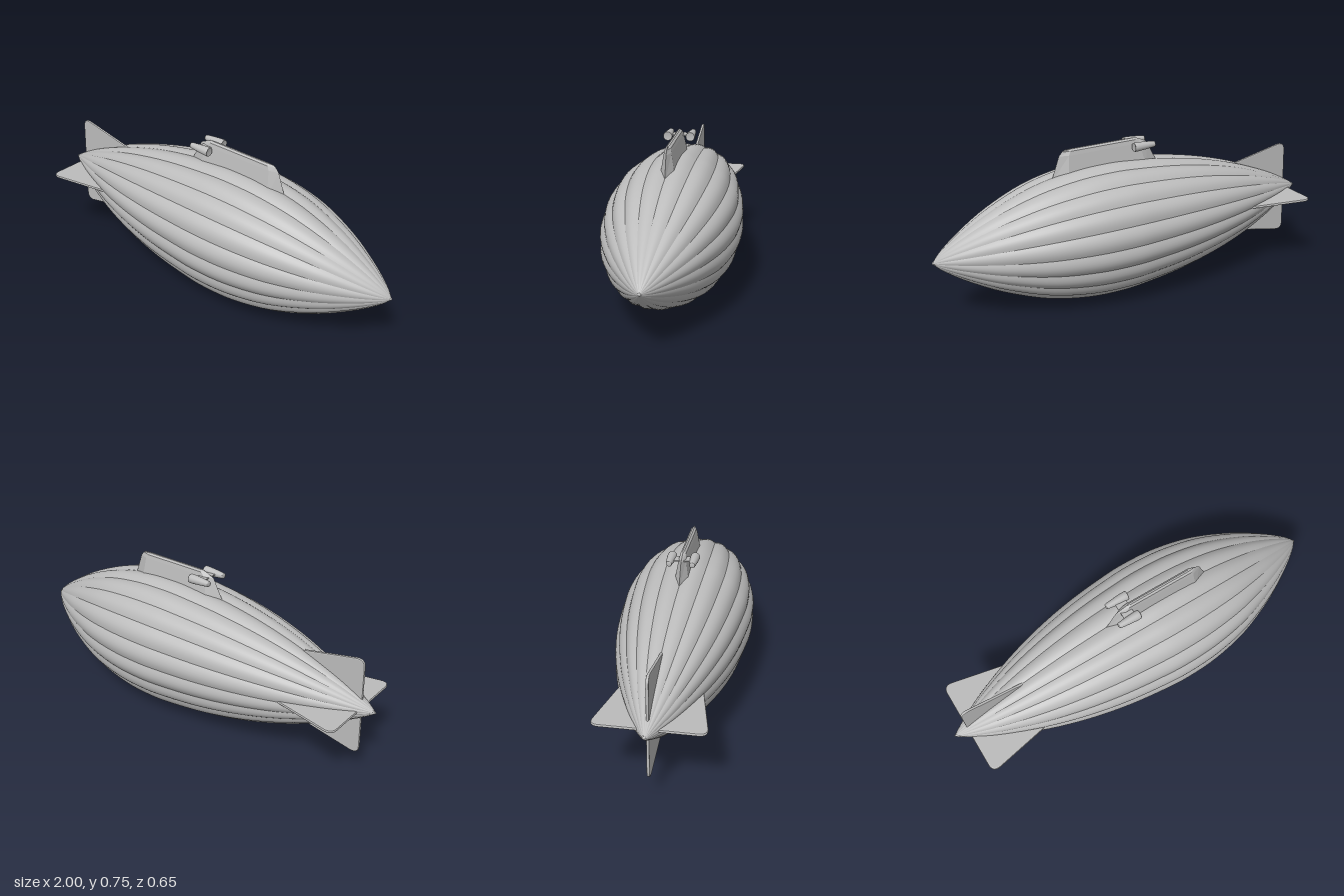
import * as THREE from 'three';

const V = (x, y) => new THREE.Vector2(x, y);

// Triangulates a grid of rows of points, sharing vertices for smooth normals
function gridGeometry(rows) {
  const n = rows[0].length, index = [];
  for (let i = 0; i < rows.length - 1; i++) {
    for (let j = 0; j < n - 1; j++) {
      const a = i * n + j, b = a + n;
      index.push(a, b, a + 1, b, b + 1, a + 1);
    }
  }
  const g = new THREE.BufferGeometry();
  g.setAttribute('position', new THREE.Float32BufferAttribute(rows.flat(2), 3));
  g.setIndex(index);
  g.computeVertexNormals();
  return g;
}

// One bulging gore of the envelope; separate gores keep the seams sharp
function goreGeometry(profile, start, span) {
  const steps = 8;
  return gridGeometry(profile.map((p) => {
    const row = [];
    for (let j = 0; j <= steps; j++) {
      const a = start + (span * j) / steps;
      const r = p.y * (0.963 + 0.037 * Math.sin((Math.PI * j) / steps));
      row.push([p.x, r * Math.sin(a), r * Math.cos(a)]);
    }
    return row;
  }));
}

// Faceted cabin with pointed bow and stern, lofted through stacked hexagons
function cabinGeometry(levels) {
  const loops = levels.map(([y, stern, a, b, bow, w]) => [
    [stern, y, 0], [a, y, w], [b, y, w], [bow, y, 0], [b, y, -w], [a, y, -w],
  ]);
  const tris = [];
  for (let k = 0; k < loops.length - 1; k++) {
    for (let i = 0; i < 6; i++) {
      const j = (i + 1) % 6, lo = loops[k], hi = loops[k + 1];
      tris.push(lo[i], lo[j], hi[j], lo[i], hi[j], hi[i]);
    }
  }
  const top = loops[loops.length - 1];
  for (let i = 1; i < 5; i++) tris.push(top[0], top[i], top[i + 1]);
  const g = new THREE.BufferGeometry();
  g.setAttribute('position', new THREE.Float32BufferAttribute(tris.flat(), 3));
  g.computeVertexNormals();
  return g;
}

export function createModel() {
  const model = new THREE.Group();
  model.name = 'airship';
  const grey = new THREE.MeshStandardMaterial({ color: 0xbcbcbc });
  grey.name = 'grey';

  // Everything sits on a slightly nose-down axis
  const body = new THREE.Group();
  body.name = 'body';
  body.position.y = 0.329;
  body.rotation.z = -0.035;
  model.add(body);

  const add = (name, geometry, parent = body) => {
    const mesh = new THREE.Mesh(geometry, grey);
    mesh.name = name;
    parent.add(mesh);
    return mesh;
  };

  // Envelope of twenty gores
  const profile = new THREE.SplineCurve([
    V(-1, 0.001), V(-0.93, 0.046), V(-0.8, 0.115), V(-0.6, 0.197), V(-0.4, 0.257),
    V(-0.2, 0.298), V(0, 0.322), V(0.13, 0.329), V(0.3, 0.32), V(0.5, 0.28),
    V(0.7, 0.202), V(0.85, 0.119), V(0.95, 0.049), V(0.994, 0.006),
  ]).getPoints(52);
  const envelope = new THREE.Group();
  envelope.name = 'envelope';
  body.add(envelope);
  const span = Math.PI / 10;
  for (let i = 0; i < 20; i++) add('gore', goreGeometry(profile, i * span, span), envelope);

  // Nose cap
  add('noseCap', new THREE.SphereGeometry(0.007, 12, 8)).position.x = 0.993;

  // Four tail fins
  const fin = new THREE.Shape();
  fin.moveTo(-0.93, 0);
  fin.lineTo(-0.93, 0.205);
  fin.quadraticCurveTo(-0.93, 0.25, -0.885, 0.243);
  fin.lineTo(-0.605, 0.186);
  fin.lineTo(-0.56, 0.1);
  fin.lineTo(-0.6, 0);
  fin.closePath();
  const finGeometry = new THREE.ExtrudeGeometry(fin, {
    depth: 0.004, bevelEnabled: true, bevelThickness: 0.005, bevelSize: 0.006,
    bevelOffset: -0.006, bevelSegments: 2, curveSegments: 8,
  }).translate(0, 0, -0.002);
  for (let i = 0; i < 4; i++) add('tailFin', finGeometry).rotation.x = (i * Math.PI) / 2;

  // Cabin on top: height, stern, rear shoulder, front shoulder, bow, half width
  add('cabin', cabinGeometry([
    [0.27, -0.166, -0.085, 0.325, 0.402, 0.037],
    [0.393, -0.105, -0.06, 0.31, 0.355, 0.017],
    [0.412, -0.065, -0.04, 0.3, 0.338, 0.013],
    [0.42, -0.045, -0.03, 0.29, 0.325, 0.004],
  ]));

  // Engine pods with recessed front faces, carried on a thin strut
  const pod = new THREE.LatheGeometry([
    V(0, -0.122), V(0.012, -0.122), V(0.014, -0.118), V(0.019, -0.07),
    V(0.022, -0.03), V(0.022, -0.012), V(0.0205, -0.009), V(0.019, -0.012), V(0, -0.012),
  ], 24);
  for (const side of [-1, 1]) {
    const engine = add('enginePod', pod);
    engine.rotation.z = -Math.PI / 2;
    engine.position.set(0, 0.389, side * 0.055);
  }
  add('engineStrut', new THREE.BoxGeometry(0.055, 0.005, 0.09)).position.set(-0.055, 0.391, 0);

  return model;
}
